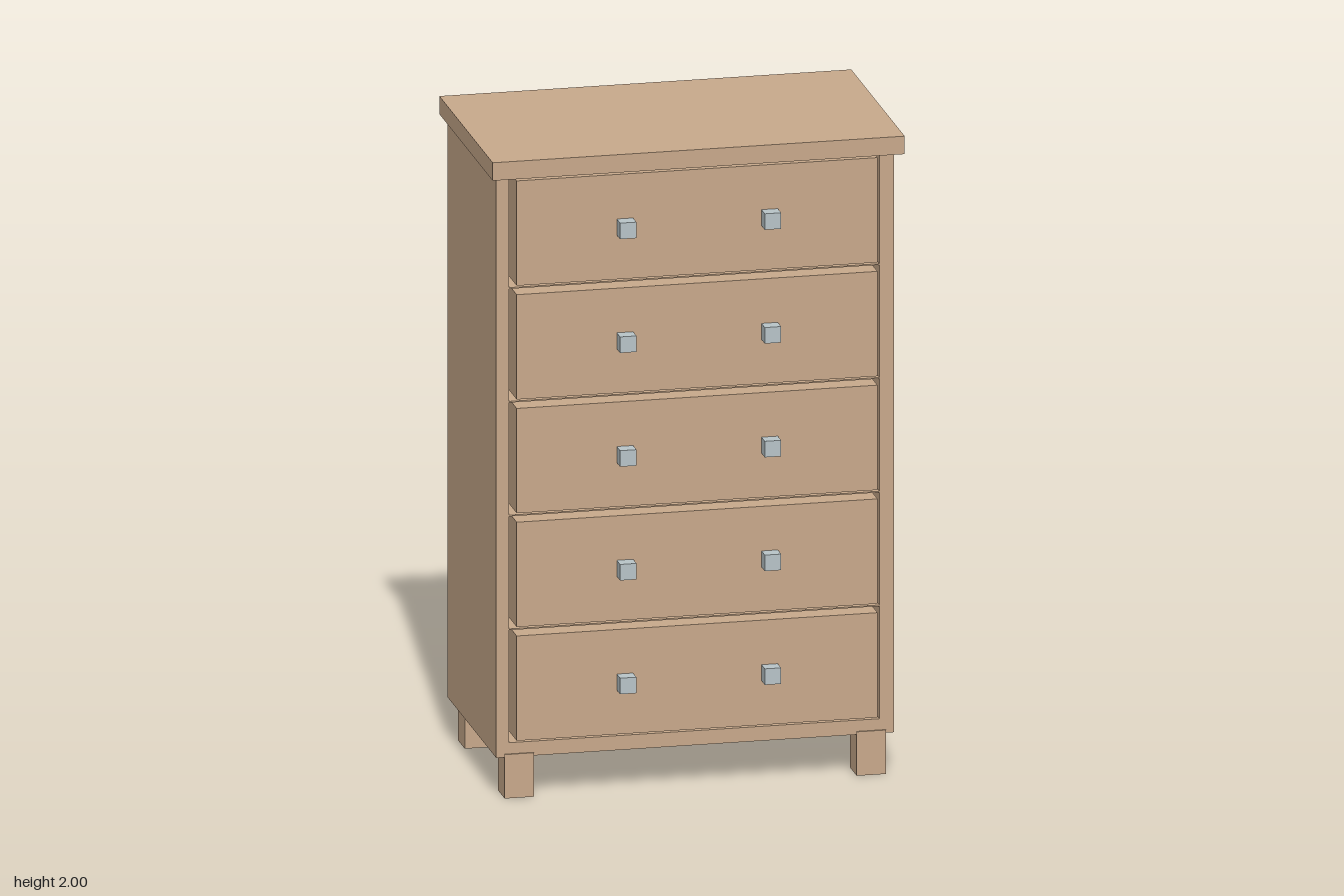
import * as THREE from 'three';

export function createModel() {
  const model = new THREE.Group();
  model.name = 'chestOfDrawers';
  const wood = new THREE.MeshStandardMaterial({ color: 0xc8a98b });
  wood.name = 'wood';
  const metal = new THREE.MeshStandardMaterial({ color: 0xb8c4c8 });
  metal.name = 'metal';

  // Box given by its minimum and maximum corners
  function box(name, material, [x0, y0, z0], [x1, y1, z1], parent = model) {
    const mesh = new THREE.Mesh(new THREE.BoxGeometry(x1 - x0, y1 - y0, z1 - z0), material);
    mesh.position.set((x0 + x1) / 2, (y0 + y1) / 2, (z0 + z1) / 2);
    mesh.name = name;
    parent.add(mesh);
  }

  function rectangle(target, x0, y0, x1, y1) {
    target.moveTo(x0, y0);
    target.lineTo(x1, y0);
    target.lineTo(x1, y1);
    target.lineTo(x0, y1);
    target.closePath();
    return target;
  }

  const count = 5, pitch = 0.355;

  // Carcass with five drawer openings
  const outline = rectangle(new THREE.Shape(), -0.61, 0.127, 0.61, 1.944);
  for (let i = 0; i < count; i++) {
    const y = i * pitch;
    outline.holes.push(rectangle(new THREE.Path(), -0.57, 0.172 + y, 0.566, 0.523 + y));
  }
  const carcass = new THREE.Mesh(
    new THREE.ExtrudeGeometry(outline, { depth: 0.635, bevelEnabled: false }), wood);
  carcass.position.z = -0.34;
  carcass.name = 'carcass';
  model.add(carcass);

  // Back panel and overhanging top
  box('backPanel', wood, [-0.61, 0.127, -0.36], [0.61, 1.944, -0.34]);
  box('topBoard', wood, [-0.632, 1.944, -0.375], [0.632, 2, 0.345]);

  // Drawers, each with two square knobs
  for (let i = 0; i < count; i++) {
    const drawer = new THREE.Group();
    drawer.name = 'drawer' + (i + 1);
    drawer.position.y = i * pitch;
    box('drawerBox', wood, [-0.555, 0.187, -0.3], [0.552, 0.514, 0.33], drawer);
    for (const x of [-0.223, 0.221]) {
      box('knob', metal, [x - 0.025, 0.325, 0.33], [x + 0.025, 0.375, 0.375], drawer);
    }
    model.add(drawer);
  }

  // Four short legs; the front pair stands just proud of the carcass
  for (const x of [-0.54, 0.54]) {
    box('frontLeg', wood, [x - 0.045, 0, 0.21], [x + 0.045, 0.137, 0.3]);
    box('backLeg', wood, [x - 0.045, 0, -0.328], [x + 0.045, 0.137, -0.238]);
  }
  return model;
}
